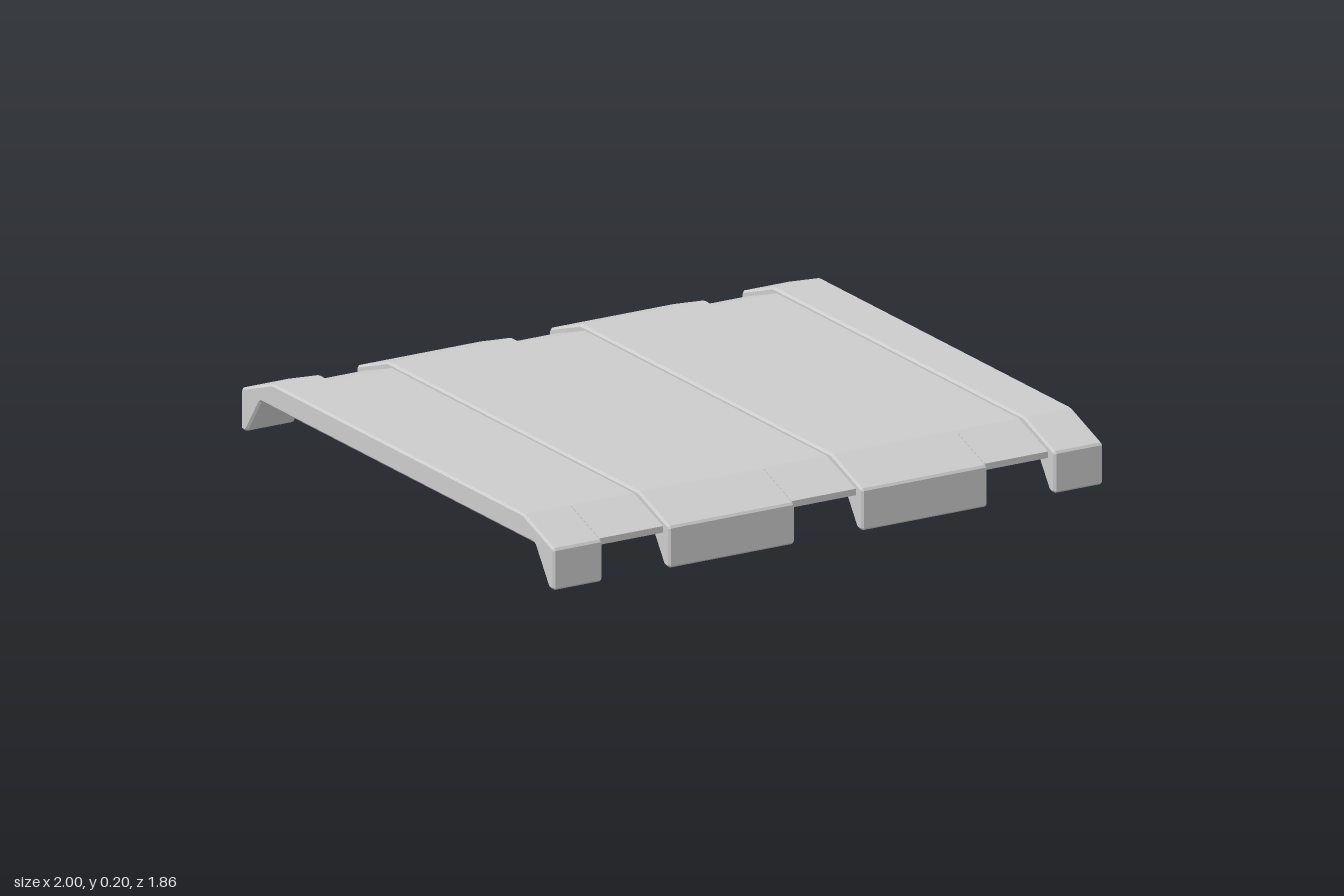
import * as THREE from 'three';

const BEVEL = 0.007;

// Mirror a half profile of [z, y] points (top centre outward, then under) into a closed loop
function mirrored(half) {
  return [...half, ...half.map(([z, y]) => [-z, y]).reverse()];
}

// Cut every corner of a closed profile by a small distance
function chamfered(points, d) {
  const out = [];
  points.forEach(([x, y], i) => {
    const n = points.length;
    for (const [a, b] of [points[(i + n - 1) % n], points[(i + 1) % n]]) {
      const t = d / Math.hypot(a - x, b - y);
      out.push([x + (a - x) * t, y + (b - y) * t]);
    }
  });
  return out;
}

// Extrude a z-y profile along x between x0 and x1
function strip(name, profile, x0, x1, bevel, material) {
  const shape = new THREE.Shape(profile.map(([z, y]) => new THREE.Vector2(z, y)));
  const geometry = new THREE.ExtrudeGeometry(shape, {
    depth: x1 - x0 - 2 * bevel,
    bevelEnabled: bevel > 0,
    bevelSize: bevel,
    bevelThickness: bevel,
    bevelOffset: -bevel,
    bevelSegments: 1,
  });
  geometry.rotateY(Math.PI / 2);
  geometry.translate(x0 + bevel, 0, 0);
  const mesh = new THREE.Mesh(geometry, material);
  mesh.name = name;
  return mesh;
}

export function createModel() {
  const group = new THREE.Group();
  group.name = 'ribbedCover';
  const material = new THREE.MeshStandardMaterial({ color: 0xcccccc, flatShading: true });

  // Thick rib with sloped shoulders and tapered feet at both ends
  const ribProfile = chamfered(mirrored([
    [0.745, 0.2], [0.93, 0.135], [0.93, 0], [0.9, 0], [0.815, 0.122],
  ]), 0.006);

  // Thin recessed sheet with drooping ends
  const panelProfile = mirrored([
    [0.718, 0.187], [0.893, 0.128], [0.893, 0.107], [0.714, 0.167],
  ]);

  const ribs = [[-1, -0.822], [-0.58, -0.122], [0.122, 0.58], [0.822, 1]];
  ribs.forEach(([a, b], i) => {
    group.add(strip(`rib${i + 1}`, ribProfile, a, b, BEVEL, material));
    // Sheet bridging to the next rib
    const next = ribs[i + 1];
    if (next) {
      group.add(strip(`recessedPanel${i + 1}`, panelProfile, b - 0.01, next[0] + 0.01, 0, material));
    }
  });
  return group;
}
